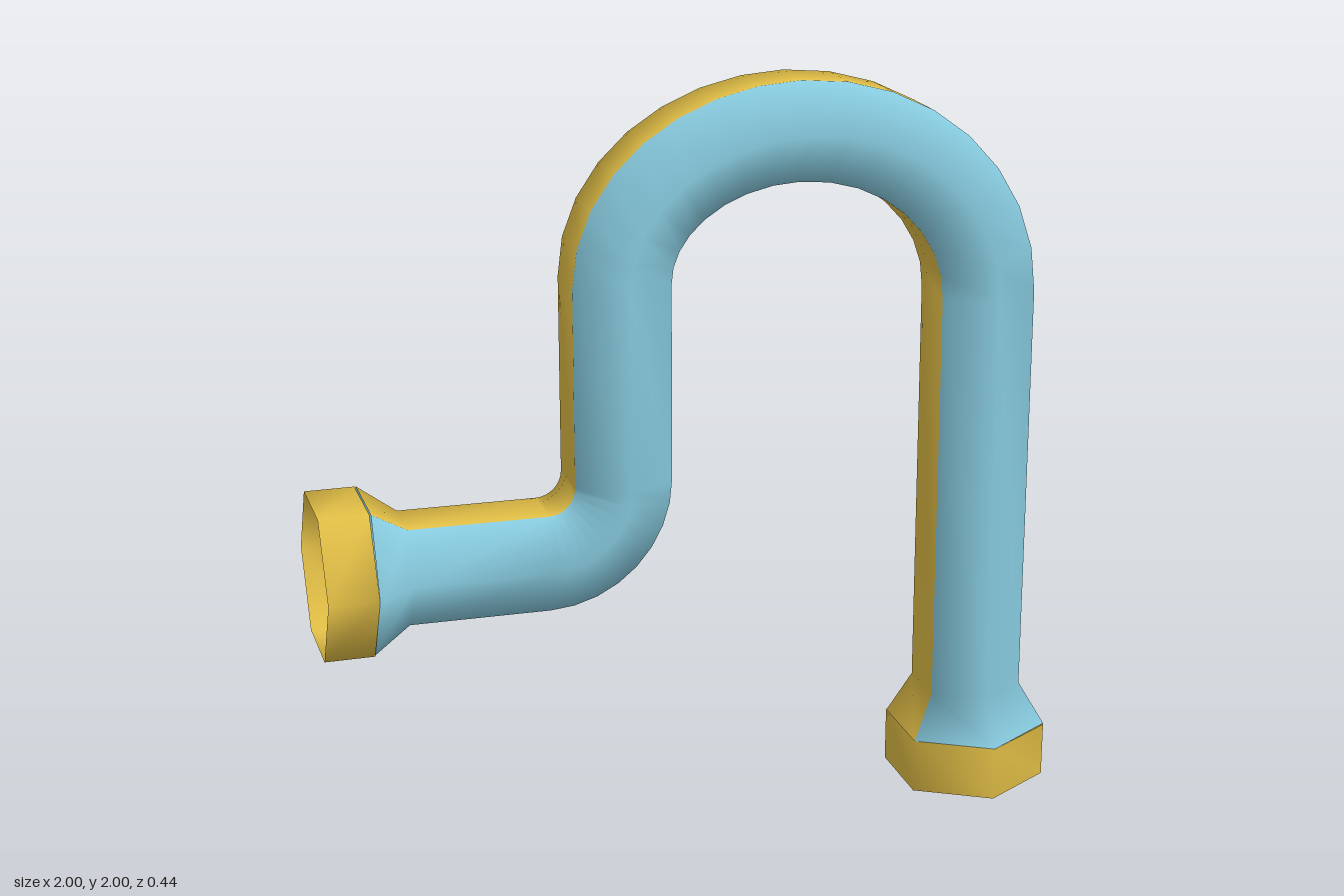
import * as THREE from 'three';

const blue = new THREE.MeshStandardMaterial({ color: 0x86c9dd, side: THREE.DoubleSide });
blue.name = 'light blue';
const yellow = new THREE.MeshStandardMaterial({ color: 0xdfbc45, side: THREE.DoubleSide });
yellow.name = 'golden yellow';

const SIDES = 6;

// Sweep an open hexagonal tube along stations [x, y, radius] in the z = 0 plane
function hexTube(name, stations, isYellow) {
  const pos = [], idx = [[], []];
  const last = stations.length - 1;
  stations.forEach(([x, y, r], i) => {
    const a = stations[Math.max(i - 1, 0)], b = stations[Math.min(i + 1, last)];
    const t = new THREE.Vector2(b[0] - a[0], b[1] - a[1]).normalize();
    for (let k = 0; k < SIDES; k++) {
      const ang = (k / SIDES) * Math.PI * 2;
      const n = r * Math.sin(ang);
      pos.push(x - t.y * n, y + t.x * n, r * Math.cos(ang));
    }
  });
  for (let i = 0; i < last; i++) {
    for (let k = 0; k < SIDES; k++) {
      const k2 = (k + 1) % SIDES;
      const a = i * SIDES + k, b = a + SIDES, d = i * SIDES + k2, c = d + SIDES;
      idx[isYellow(k) ? 1 : 0].push(a, b, c, a, c, d);
    }
  }
  const geo = new THREE.BufferGeometry();
  geo.setAttribute('position', new THREE.Float32BufferAttribute(pos, 3));
  geo.setIndex([...idx[0], ...idx[1]]);
  geo.addGroup(0, idx[0].length, 0);
  geo.addGroup(idx[0].length, idx[1].length, 1);
  geo.computeVertexNormals();
  const mesh = new THREE.Mesh(geo, [blue, yellow]);
  mesh.name = name;
  return mesh;
}

export function createModel() {
  const group = new THREE.Group();
  group.name = 'bentPipe';
  const R = 0.15, F = 0.222;

  // Elliptical bend from angle a0 to a1 (degrees)
  const bend = (cx, cy, rx, ry, a0, a1, steps) =>
    Array.from({ length: steps + 1 }, (_, i) => {
      const a = THREE.MathUtils.degToRad(a0 + ((a1 - a0) * i) / steps);
      return [cx + rx * Math.cos(a), cy + ry * Math.sin(a), R];
    });

  // Flared inlet, elbow, riser, arch, long leg and flared outlet
  const path = [
    [-0.87, 0.78, F], [-0.77, 0.778, R],
    ...bend(-0.4, 0.975, 0.2, 0.2, -90, 0, 8),
    ...bend(0.27, 1.5, 0.47, 0.37, 180, 90, 8),
    ...bend(0.27, 1.4, 0.53, 0.47, 90, 0, 8).slice(1),
    [0.805, 0.27, R], [0.807, 0.15, F],
  ];
  // Stripes run along the two faces that look along the bend plane
  group.add(hexTube('pipe', path, (k) => k % 3 === 1));
  group.add(hexTube('inletCollar', [[-1, 0.78, F], [-0.87, 0.78, F]], () => true));
  group.add(hexTube('outletCollar', [[0.807, 0.15, F], [0.807, 0, F]], () => true));
  return group;
}
